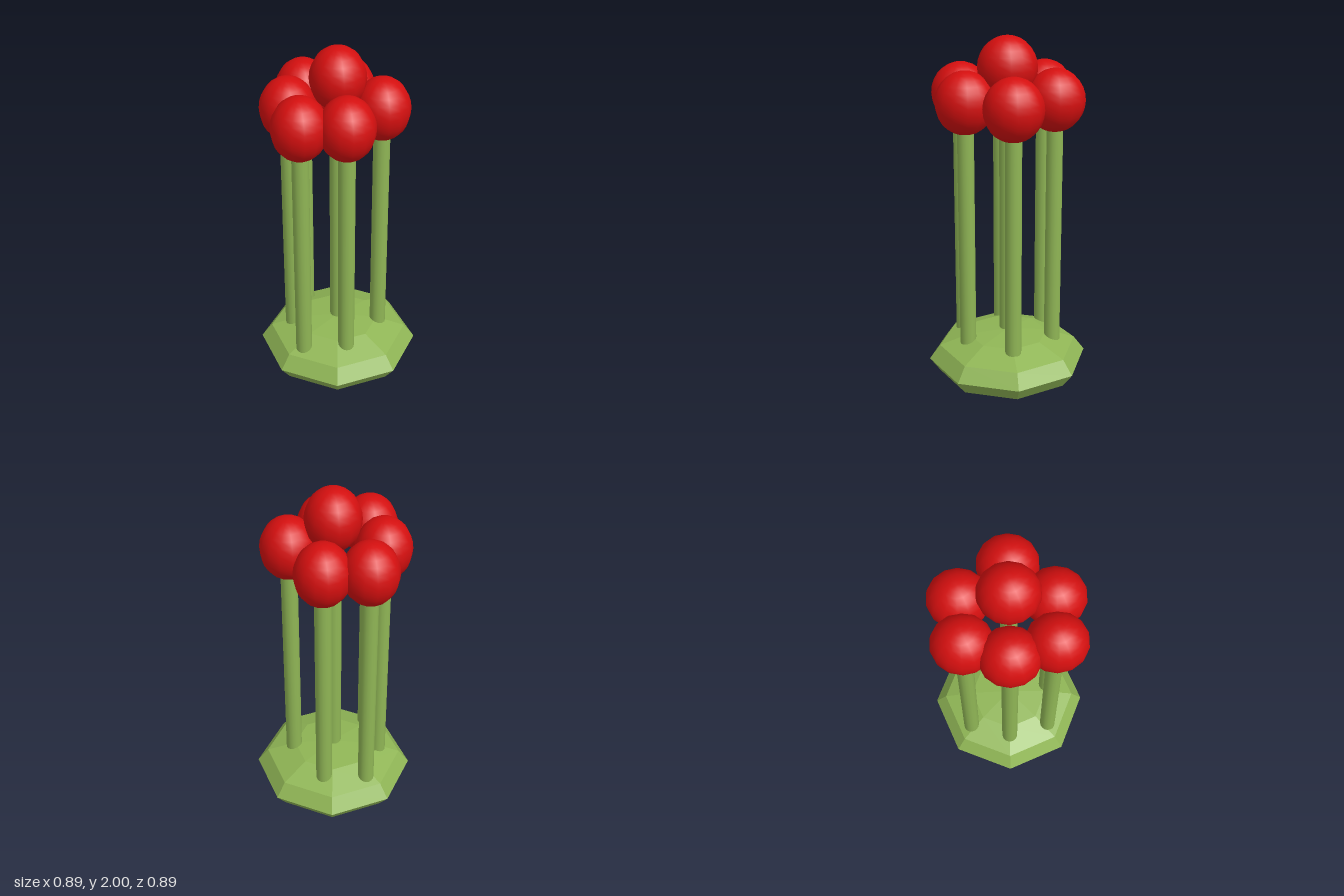
import * as THREE from 'three';

export function createModel() {
  const model = new THREE.Group();
  const green = new THREE.MeshStandardMaterial({ color: 0x8fb555 });
  const leaf = new THREE.MeshStandardMaterial({ color: 0x8fb555, flatShading: true });
  const red = new THREE.MeshStandardMaterial({ color: 0xd40f0f });

  function add(name, geometry, material, x, y, z) {
    const mesh = new THREE.Mesh(geometry, material);
    mesh.name = name;
    mesh.position.set(x, y, z);
    model.add(mesh);
  }

  // Faceted, flattened base
  const base = new THREE.SphereGeometry(0.447, 8, 6).scale(1, 0.161 / 0.447, 1);
  add('base', base, leaf, 0, 0.161, 0);

  // Stalks, each carrying an egg-shaped berry; the middle one sits higher
  const stemLength = 1.495;
  const stem = new THREE.CylinderGeometry(0.045, 0.045, stemLength, 16);
  const berry = new THREE.SphereGeometry(1, 14, 14).scale(0.149, 0.17, 0.161);
  const stalks = [
    [0, 0, 0.17],
    [0.23, 0, 0], [-0.26, 0, 0],
    [0.048, 0.23, 0], [-0.19, 0.23, 0],
    [0.048, -0.248, 0], [-0.19, -0.23, 0],
  ];
  for (const [x, z, lift] of stalks) {
    add('stem', stem, green, x, 1.66 - stemLength / 2 + lift, z);
    add('berry', berry, red, x, 1.66 + lift, z);
  }

  return model;
}
